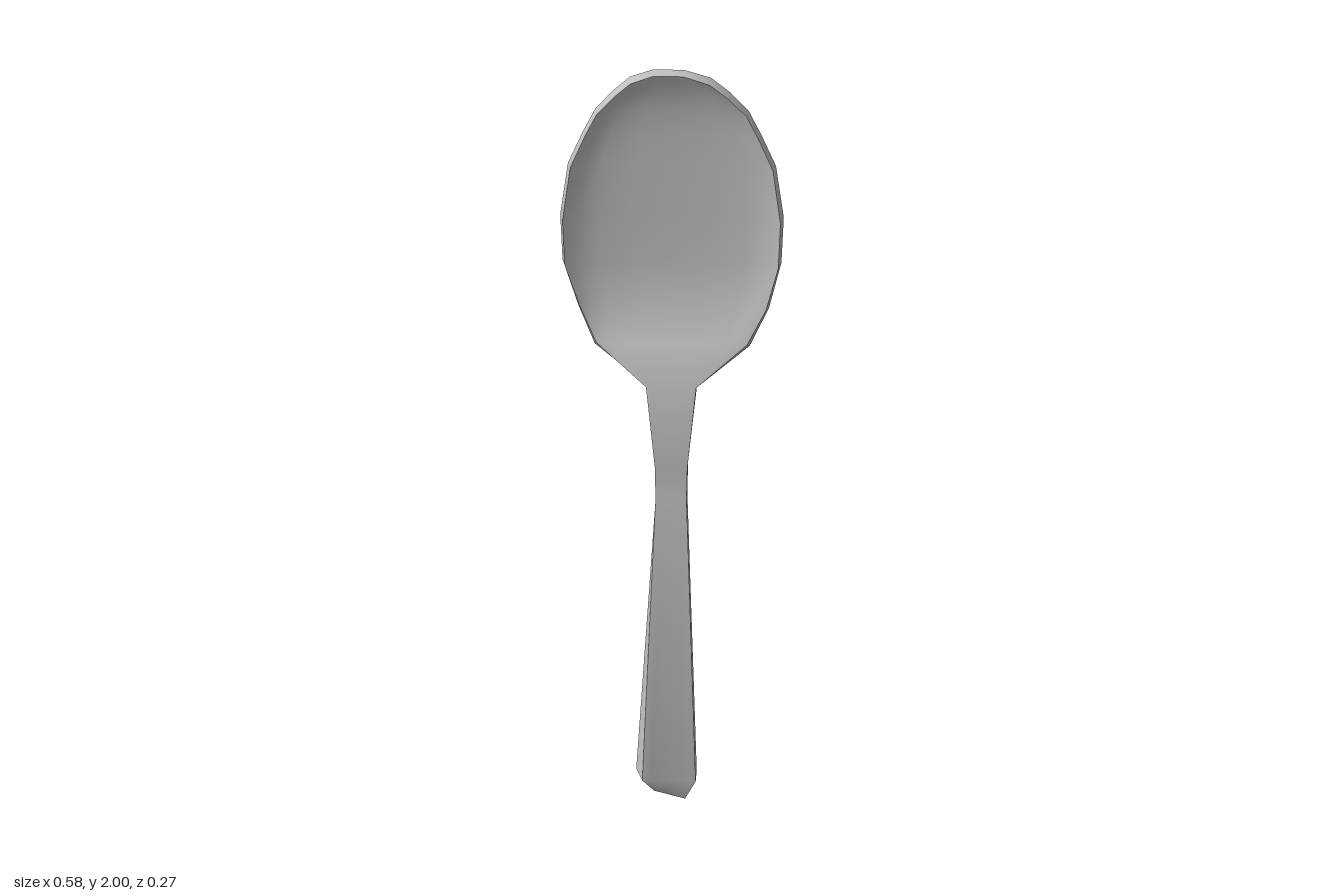
import * as THREE from 'three';
import { toCreasedNormals } from 'three/addons/utils/BufferGeometryUtils.js';

// Positions across the width, and how far each sinks from rim to floor
const ACROSS = [-1, -0.86, -0.69, -0.35, 0.35, 0.69, 0.86, 1];
const SINK = [0, 0.55, 0.82, 1, 1, 0.82, 0.55, 0];

// One edge of a section, from its right end to its left end, dished to a floor
function edge([x0, y0, z0], [x1, y1, z1], dish = 0) {
  return ACROSS.map((f, i) => {
    const t = (f + 1) / 2;
    return [
      THREE.MathUtils.lerp(x0, x1, t),
      THREE.MathUtils.lerp(y0, y1, t),
      THREE.MathUtils.lerp(z0, z1, t) + dish * SINK[i],
    ];
  });
}

// A closed section: front edge, then the back edge in reverse
const section = (front, back) => [...front, ...back.reverse()];

// Joins matching sections into a skin, closing both ends with a fan
function loft(rings, crease) {
  const pos = [];
  const tri = (...pts) => pts.forEach((p) => pos.push(...p));
  const n = rings[0].length;
  const middle = (ring) => [0, 1, 2].map((k) => ring.reduce((s, p) => s + p[k], 0) / n);
  const first = rings[0], last = rings[rings.length - 1];
  const start = middle(first), end = middle(last);
  for (let i = 0; i < n; i++) {
    const j = (i + 1) % n;
    for (let r = 0; r < rings.length - 1; r++) {
      const a = rings[r], b = rings[r + 1];
      tri(a[i], a[j], b[j]);
      tri(a[i], b[j], b[i]);
    }
    tri(start, first[j], first[i]);
    tri(end, last[i], last[j]);
  }
  const geo = new THREE.BufferGeometry();
  geo.setAttribute('position', new THREE.Float32BufferAttribute(pos, 3));
  return toCreasedNormals(geo, crease);
}

export function createModel() {
  const group = new THREE.Group();
  group.name = 'spoon';
  const metal = new THREE.MeshStandardMaterial({ color: 0xc0c0c0 });
  metal.name = 'grey metal';

  // Blunt, slightly lopsided handle tip
  const tip = [
    section(
      edge([-0.04, 0.02, 0.112], [0.04, 0, 0.115]),
      edge([-0.01, 0.016, 0.085], [0.04, 0.02, 0.056])),
    section(
      edge([-0.07, 0.06, 0.135], [0.068, 0.06, 0.135]),
      edge([-0.088, 0.06, 0.065], [0.068, 0.05, 0.053])),
  ];

  // Stem: front y, back y, half width, front z, back z
  const stem = [
    [0.81, 0.8, 0.04, 0.012, -0.051],
    [0.9, 0.9, 0.042, 0.008, -0.054],
    [1.132, 1.11, 0.065, 0.008, -0.052],
  ].map(([yf, yb, w, zf, zb]) => section(
    edge([-w, yf, zf], [w, yf, zf]),
    edge([-w, yb, zb], [w, yb, zb])));

  // Bowl: front y, back y, right x, left x, front rim z, back rim z, inner floor z, outer floor z
  const bowl = [
    [1.232, 1.212, -0.2, 0.2, -0.045, -0.08, -0.042, -0.098],
    [1.33, 1.32, -0.243, 0.25, -0.053, -0.085, -0.08, -0.135],
    [1.45, 1.45, -0.284, 0.282, -0.05, -0.088, -0.088, -0.136],
    [1.58, 1.58, -0.29, 0.288, -0.05, -0.088, -0.088, -0.136],
    [1.73, 1.73, -0.27, 0.268, -0.055, -0.085, -0.088, -0.136],
    [1.82, 1.82, -0.232, 0.23, -0.055, -0.085, -0.087, -0.134],
    [1.885, 1.885, -0.2, 0.198, -0.055, -0.088, -0.083, -0.128],
    [1.935, 1.935, -0.155, 0.15, -0.055, -0.095, -0.075, -0.12],
    [1.975, 1.975, -0.11, 0.1, -0.055, -0.098, -0.063, -0.107],
    [1.998, 1.998, -0.05, 0.03, -0.055, -0.095, -0.055, -0.095],
  ].map(([yf, yb, x0, x1, zf, zb, inner, outer]) => section(
    edge([x0 * 0.975, yf, zf], [x1 * 0.975, yf, zf], inner - zf),
    edge([x0, yb, zb], [x1, yb, zb], outer - zb)));

  // Handle and bowl flow together as one skin
  const body = new THREE.Mesh(loft([...tip, ...stem, ...bowl], 0.75), metal);
  body.name = 'handleAndBowl';
  group.add(body);
  return group;
}
